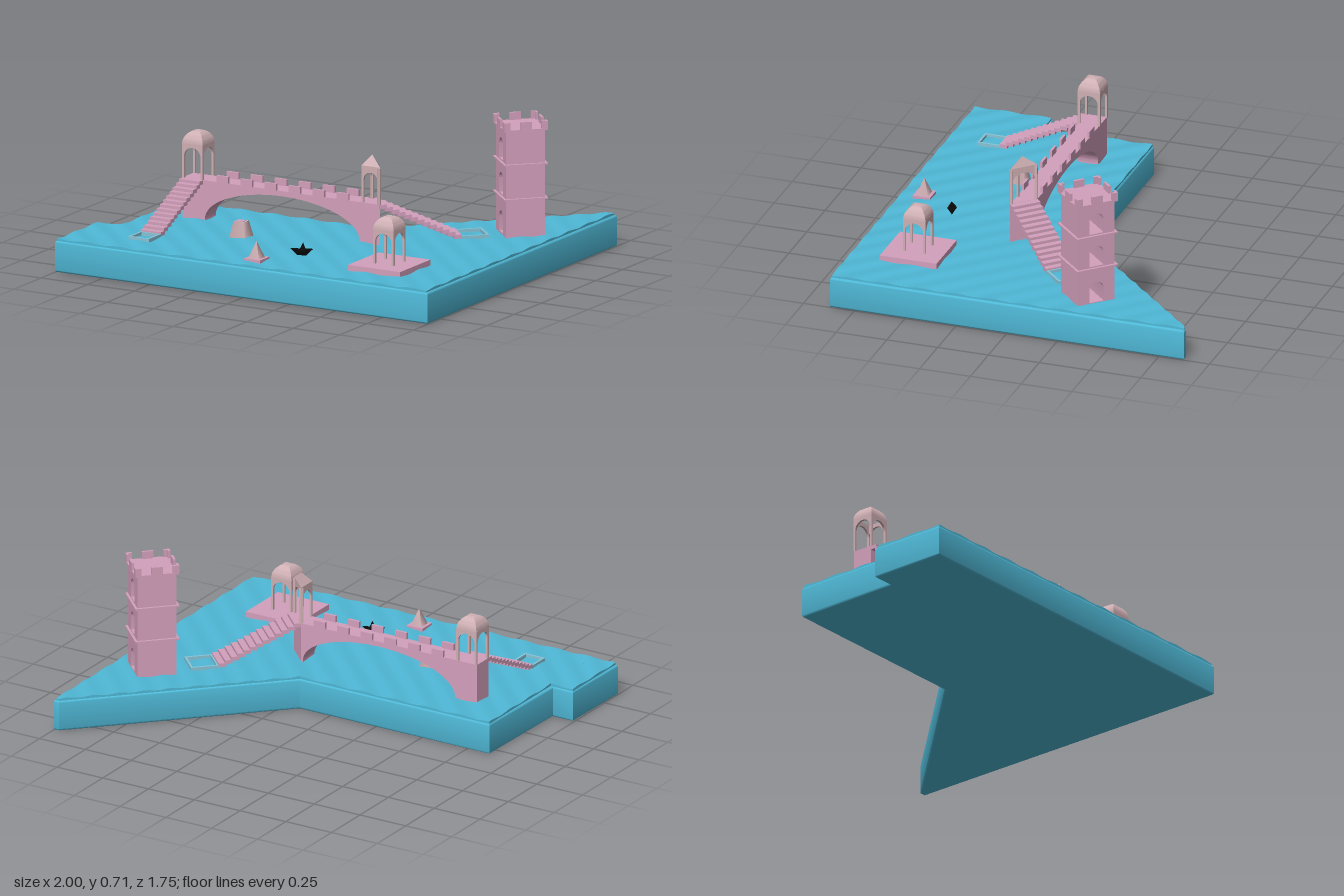
import * as THREE from 'three';
import { toCreasedNormals } from 'three/addons/utils/BufferGeometryUtils.js';
import { ConvexGeometry } from 'three/addons/geometries/ConvexGeometry.js';

const pink = new THREE.MeshStandardMaterial({ color: 0xd3a0bc });
const stone = new THREE.MeshStandardMaterial({ color: 0xcfb0b4 });
const water = new THREE.MeshStandardMaterial({ color: 0x4fb8d6 });
const pool = new THREE.MeshStandardMaterial({ color: 0x86c4d8 });
const black = new THREE.MeshStandardMaterial({ color: 0x0a0a0a, side: THREE.DoubleSide });
const V = (x, y, z) => new THREE.Vector3(x, y, z);
const TOP = 0.16; // water level
const DECK = 0.35; // bridge deck level

function add(parent, name, geo, mat, x = 0, y = 0, z = 0) {
  const m = new THREE.Mesh(geo, mat);
  m.name = name;
  m.position.set(x, y, z);
  parent.add(m);
  return m;
}
function addGroup(parent, name, x = 0, y = 0, z = 0, turn = 0) {
  const g = new THREE.Group();
  g.name = name;
  g.position.set(x, y, z);
  g.rotation.y = turn;
  parent.add(g);
  return g;
}
const box = (w, h, d) => new THREE.BoxGeometry(w, h, d);
const extrude = (shape, depth) => new THREE.ExtrudeGeometry(shape, { depth, bevelEnabled: false, curveSegments: 16 });
const poly = pts => new THREE.Shape(pts.map(p => new THREE.Vector2(...p)));
// upright prism from a plan outline of [x, z] points
const plan = (pts, h) => extrude(poly(pts.map(([x, z]) => [x, -z])), h).rotateX(-Math.PI / 2);

// wall with an arched doorway, centred on x, standing on y = 0
function archWall(w, h, half, spring, rise, depth, sill = 0) {
  const s = new THREE.Shape();
  s.moveTo(-w / 2, 0);
  if (!sill) {
    s.lineTo(-half, 0);
    s.lineTo(-half, spring);
    s.absellipse(0, spring, half, rise, Math.PI, 0, true);
    s.lineTo(half, 0);
  }
  s.lineTo(w / 2, 0);
  s.lineTo(w / 2, h);
  s.lineTo(-w / 2, h);
  s.closePath();
  if (sill) {
    const hole = new THREE.Path();
    hole.moveTo(-half, sill);
    hole.lineTo(half, sill);
    hole.lineTo(half, spring);
    hole.absellipse(0, spring, half, rise, 0, Math.PI, false);
    hole.closePath();
    s.holes.push(hole);
  }
  return extrude(s, depth);
}

// arcade of thin arched walls along the edges of a counter-clockwise plan
function arcade(parent, pts, h) {
  pts.forEach(([x0, z0], i) => {
    const [x1, z1] = pts[(i + 1) % pts.length];
    const len = Math.hypot(x1 - x0, z1 - z0), t = 0.011;
    const geo = archWall(len, h, len / 2 - 0.011, 0.105, 0.042, t).translate(0, 0, -t);
    const m = add(parent, 'archedWall', geo, stone, (x0 + x1) / 2, 0, (z0 + z1) / 2);
    m.rotation.y = Math.atan2(-(z1 - z0), x1 - x0);
  });
}

function squareTurret(parent, name, x, y, z) {
  const g = addGroup(parent, name, x, y, z), a = 0.055;
  arcade(g, [[-a, a], [a, a], [a, -a], [-a, -a]], 0.165);
  // domed roof on a square plan
  const prof = [];
  for (let i = 0; i <= 10; i++) {
    const t = (i / 10) * Math.PI / 2;
    prof.push(new THREE.Vector2(Math.max(1e-4, a * Math.SQRT2 * Math.cos(t)), 0.163 + 0.062 * Math.sin(t)));
  }
  const dome = new THREE.LatheGeometry(prof, 4).rotateY(Math.PI / 4);
  add(g, 'domedRoof', toCreasedNormals(dome, 0.6), stone);
}

// open stairs of thin slabs descending along +z, with a framed landing
function stairs(parent, name, x, z, turn, width, run, landing) {
  const g = addGroup(parent, name, x, 0, z, turn), n = 13, drop = (DECK - 0.17) / n, d = run / n;
  for (let i = 0; i < n; i++)
    add(g, 'step', box(width, drop + 0.005, d + 0.006), pink, 0, DECK - 0.01 - i * drop, (i + 0.5) * d);
  const a = width / 2, b = landing, f = 0.011;
  const s = poly([[-a, 0], [a, 0], [a, -b], [-a, -b]]);
  s.holes.push(poly([[-a + f, -f], [-a + f, f - b], [a - f, f - b], [a - f, -f]]));
  add(g, 'landingFrame', extrude(s, 0.025).rotateX(-Math.PI / 2), pool, 0, 0.15, run);
}

function buildWater(root) {
  const g = addGroup(root, 'waterBase');
  const o = [[-0.99, 0.86], [0.99, 0.86], [0.99, -0.865], [0.975, -0.865], [0.168, -0.05], [-0.865, -0.05], [-0.875, 0.49], [-0.985, 0.49]];
  const slab = new THREE.ExtrudeGeometry(poly(o.map(([x, z]) => [x, -z])), {
    depth: 0.13, bevelSize: 0.01, bevelThickness: 0.01, bevelSegments: 3 });
  add(g, 'waterBlock', toCreasedNormals(slab.rotateX(-Math.PI / 2), 0.6), water, 0, 0.01, 0);
  // gently waved surface, its outer ring folded down as a skirt
  const patch = (x0, x1, zMin) => {
    const nx = Math.ceil((x1 - x0) / 0.018) + 2, nz = 90;
    const geo = new THREE.PlaneGeometry(1, 1, nx, nz), p = geo.attributes.position;
    for (let j = 0; j <= nz; j++) for (let i = 0; i <= nx; i++) {
      const u = THREE.MathUtils.clamp((i - 1) / (nx - 2), 0, 1);
      const v = THREE.MathUtils.clamp((j - 1) / (nz - 2), 0, 1);
      const x = x0 + (x1 - x0) * u, z0 = zMin(x), z = z0 + (0.864 - z0) * v;
      const skirt = i === 0 || j === 0 || i === nx || j === nz;
      p.setXYZ(j * (nx + 1) + i, x, skirt ? 0.14 : TOP + 0.003 * Math.sin(36 * (x - z)), z);
    }
    add(g, 'waterSurface', toCreasedNormals(geo, 0.6), water);
  };
  patch(-0.99, -0.87, () => 0.486);
  patch(-0.87, 0.166, () => -0.054);
  patch(0.166, 0.99, x => Math.max(-0.87, -0.054 - (x - 0.166) * 1.01));
}

function buildBridge(root) {
  const g = addGroup(root, 'bridge');
  const s = poly([[-0.7, 0.15], [-0.58, 0.15], [-0.58, 0.165]]);
  s.absellipse(-0.165, 0.165, 0.415, 0.16, Math.PI, 0, true);
  [[0.25, 0.15], [0.26, 0.15], [0.26, DECK], [-0.7, DECK]].forEach(p => s.lineTo(...p));
  const span = new THREE.ExtrudeGeometry(s, { depth: 0.1, bevelEnabled: false, curveSegments: 40 });
  add(g, 'archedSpan', toCreasedNormals(span, 0.5), pink, 0, 0, 0.11);
  const corner = [[0.26, 0.21], [0.36, 0.21], [0.26, 0.11]];
  add(g, 'cornerPier', plan(corner, DECK - 0.15), pink, 0, 0.15, 0);
  for (let i = 0; i < 6; i++) for (const z of [0.113, 0.207])
    add(g, 'battlement', box(0.063, 0.034, 0.012), pink, -0.485 + i * 0.129, DECK + 0.015, z);

  squareTurret(g, 'leftTurret', -0.645, DECK, 0.16);
  const t = addGroup(g, 'cornerTurret', 0, DECK, 0);
  arcade(t, corner, 0.172);
  add(t, 'pointedRoof', new ConvexGeometry([
    ...corner.map(([x, z]) => V(x, 0.165, z)), ...corner.map(([x, z]) => V(x, 0.177, z)), V(0.297, 0.225, 0.172)]), stone);

  stairs(g, 'leftStairs', -0.645, 0.21, 0, 0.11, 0.385, 0.115);
  stairs(g, 'rightStairs', 0.31, 0.16, Math.PI * 0.75, 0.141, 0.39, 0.135);
}

function buildTower(root) {
  // local +z is the side with doorways, which run right through
  const g = addGroup(root, 'tower', 0.8, 0, -0.33, -Math.PI / 4);
  const w = 0.186, W = 0.21, floors = [0.15, 0.34, 0.505, 0.67];
  for (let i = 0; i < 3; i++) {
    const h = floors[i + 1] - floors[i], sill = i ? 0.01 : 0.016;
    const geo = archWall(w, h, 0.037, sill + 0.065, 0.037, w, sill).translate(0, 0, -w / 2);
    add(g, 'storey', toCreasedNormals(geo, 0.5), pink, 0, floors[i], 0);
    add(g, 'ledge', box(W, 0.008, W), pink, 0, floors[i + 1], 0);
  }
  for (let k = 0; k < 4; k++) {
    const side = addGroup(g, 'battlements', 0, 0.69, 0, k * Math.PI / 2);
    for (const [x, len] of [[-0.09, 0.03], [0, 0.055], [0.09, 0.03]])
      add(side, 'battlement', box(len, 0.04, 0.012), pink, x, 0, W / 2 - 0.006);
  }
}

// four-sided solid tapering from half width a to b
const taper = (a, b, h) =>
  new THREE.CylinderGeometry(b * Math.SQRT2, a * Math.SQRT2, h, 4, 1).toNonIndexed().rotateY(Math.PI / 4).translate(0, h / 2, 0);

function buildIslets(root) {
  const p = addGroup(root, 'pavilion');
  add(p, 'platform', box(0.28, 0.035, 0.28), pink, 0.62, 0.168, 0.57);
  squareTurret(p, 'pavilionTurret', 0.62, 0.185, 0.57);

  const c = addGroup(root, 'cutPyramid', -0.28, 0.15, 0.39);
  add(c, 'slopedBody', taper(0.043, 0.026, 0.082), stone);
  add(c, 'topSlab', box(0.036, 0.004, 0.036), pink, 0, 0.082, 0);

  const s = addGroup(root, 'smallPyramid', 0.015, 0.15, 0.755);
  add(s, 'foot', box(0.086, 0.022, 0.086), pink, 0, 0.011, 0);
  add(s, 'spire', taper(0.029, 0.001, 0.08), stone, 0, 0.02, 0);
}

function buildBoat(root) {
  const g = addGroup(root, 'boat', 0.15, TOP, 0.57);
  // lozenge hull with raised ends, and a folded sail
  const hull = new ConvexGeometry([V(-0.05, 0.033, 0.02), V(0.05, 0.033, -0.02), V(-0.012, 0.026, -0.02),
    V(0.012, 0.026, 0.02), V(-0.02, 0, 0.006), V(0.02, 0, -0.006)]);
  add(g, 'hull', hull, black);
  add(g, 'sail', new ConvexGeometry([V(-0.012, 0.02, 0.006), V(0.022, 0.02, -0.006), V(0, 0.02, -0.01),
    V(0.01, 0.02, 0.01), V(0.007, 0.063, 0)]), black);
}

export function createModel() {
  const root = new THREE.Group();
  root.name = 'bridgeOverWater';
  buildWater(root);
  buildBridge(root);
  buildTower(root);
  buildIslets(root);
  buildBoat(root);
  return root;
}
